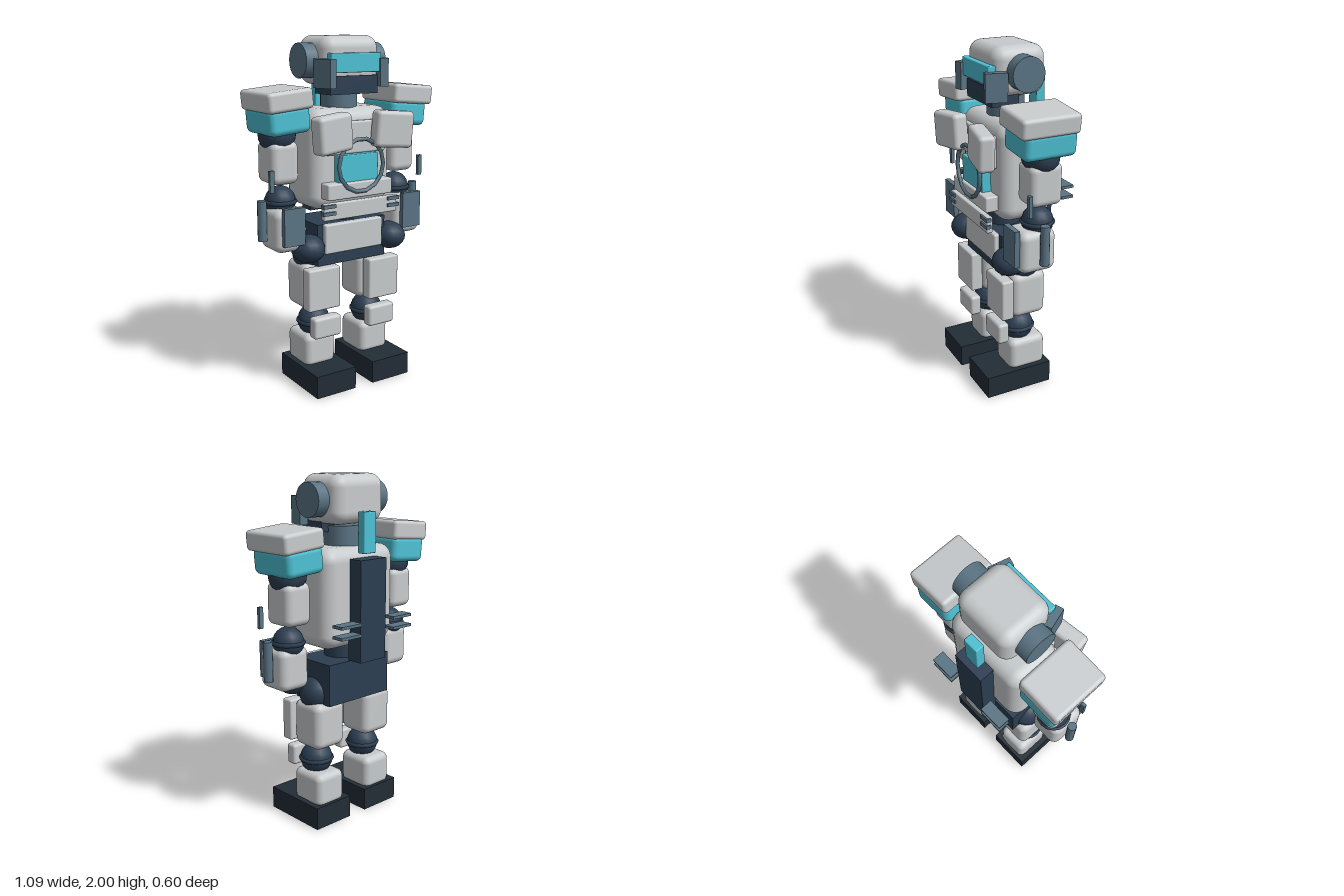
import * as THREE from 'three';
import { RoundedBoxGeometry } from 'three/addons/geometries/RoundedBoxGeometry.js';

function material(name, color) {
  const m = new THREE.MeshStandardMaterial({ color });
  m.name = name;
  return m;
}

export function createModel() {
  const model = new THREE.Group();
  model.name = 'robot';
  const shell = material('pale grey shell', 0xc8cbcd);
  const cyan = material('cyan', 0x4dc1d4);
  const steel = material('steel blue', 0x5a7484);
  const navy = material('navy', 0x2c3e52);
  const sole = material('dark sole', 0x222d36);

  function add(name, geometry, mat, x, y, z, rx = 0, ry = 0, rz = 0) {
    const mesh = new THREE.Mesh(geometry, mat);
    mesh.name = name;
    mesh.position.set(x, y, z);
    mesh.rotation.set(rx, ry, rz);
    model.add(mesh);
    return mesh;
  }
  // Box given by its centre and size; r > 0 rounds its edges
  function box(name, mat, [x, y, z], [w, h, d], r = 0, ry = 0, rz = 0) {
    const g = r ? new RoundedBoxGeometry(w, h, d, 4, r) : new THREE.BoxGeometry(w, h, d);
    return add(name, g, mat, x, y, z, 0, ry, rz);
  }
  const ball = (name, x, y, z, r) =>
    add(name, new THREE.SphereGeometry(r, 16, 12), navy, x, y, z);
  // Ball joint with a raised band round its middle
  function bandedJoint(name, x, y, z, r) {
    ball(name, x, y, z, r);
    add(name + 'Band', new THREE.TorusGeometry(r - 0.004, 0.013, 6, 16), navy, x, y, z, Math.PI / 2);
  }

  // Head
  box('head', shell, [0, 1.865, -0.013], [0.37, 0.27, 0.315], 0.07);
  box('visor', cyan, [0, 1.855, 0.152], [0.325, 0.105, 0.045], 0.006);
  box('jaw', navy, [0, 1.735, 0.07], [0.31, 0.1, 0.16]);
  add('neck', new THREE.CylinderGeometry(0.105, 0.105, 0.14, 20), steel, 0, 1.65, -0.01);

  // Torso
  box('torso', shell, [0, 1.33, -0.015], [0.535, 0.56, 0.325], 0.08);
  box('chestBar', shell, [0, 1.45, 0.135], [0.4, 0.18, 0.07], 0.012);
  box('chestWindow', cyan, [0, 1.24, 0.17], [0.26, 0.24, 0.06], 0.006);
  add('chestRing', new THREE.TorusGeometry(0.148, 0.012, 6, 14), steel, 0, 1.3, 0.222);
  box('upperBellyPlate', shell, [0, 1.165, 0.18], [0.43, 0.09, 0.08], 0.01);
  box('lowerBellyPlate', shell, [0, 1.06, 0.21], [0.49, 0.095, 0.035], 0.008);
  add('waist', new THREE.CylinderGeometry(0.1, 0.1, 0.12, 16), navy, 0, 1.01, 0);

  // Pelvis
  box('pelvis', navy, [0, 0.85, -0.013], [0.46, 0.24, 0.285]);
  box('pelvisPlate', shell, [0, 0.885, 0.14], [0.39, 0.17, 0.04], 0.01);

  // Back unit
  box('backpack', navy, [0, 1.265, -0.215], [0.195, 0.57, 0.095]);
  box('antenna', cyan, [0, 1.69, -0.208], [0.09, 0.225, 0.052], 0.006);

  for (const s of [1, -1]) {
    // Head side parts
    add('ear', new THREE.CylinderGeometry(0.095, 0.095, 0.09, 24), steel, s * 0.215, 1.865, -0.015, 0, 0, Math.PI / 2);
    box('cheekGuard', steel, [s * 0.184, 1.8, 0.14], [0.048, 0.155, 0.12], 0, -s * 0.28);

    // Chest plates and fins
    box('pectoralPlate', shell, [s * 0.198, 1.49, 0.235], [0.23, 0.205, 0.095], 0.025, -s * 0.16, -s * 0.08);
    for (const y of [1.053, 1.093]) {
      box('bellyFin', steel, [s * 0.215, y, 0.222], [0.08, 0.02, 0.03]);
    }
    for (const y of [1.15, 1.21]) {
      box('backFin', steel, [s * 0.197, y, -0.263], [0.147, 0.016, 0.073]);
    }

    // Shoulder
    box('shoulderPad', cyan, [s * 0.393, 1.56, -0.012], [0.25, 0.15, 0.31], 0.035, 0, -s * 0.08);
    box('shoulderCap', shell, [s * 0.404, 1.668, 0], [0.272, 0.11, 0.342], 0.022, 0, -s * 0.09);
    ball('shoulderJoint', s * 0.4, 1.475, -0.01, 0.105);

    // Arm
    box('upperArm', shell, [s * 0.395, 1.325, -0.012], [0.17, 0.235, 0.195], 0.04);
    bandedJoint('elbow', s * 0.393, 1.105, 0, 0.088);
    box('elbowFin', steel, [s * 0.5, 1.24, 0.105], [0.026, 0.12, 0.02]);
    box('forearm', shell, [s * 0.393, 0.96, 0.037], [0.195, 0.24, 0.215], 0.045);
    box('forearmPlate', steel, [s * 0.397, 0.99, 0.157], [0.128, 0.21, 0.03]);
    add('forearmRod', new THREE.CylinderGeometry(0.026, 0.026, 0.225, 12), steel, s * 0.518, 1.012, 0.022);
    const hand = ball('hand', s * 0.28, 0.84, 0.11, 0.095);
    hand.scale.set(1, 0.85, 1.05);

    // Leg
    ball('hipJoint', s * 0.195, 0.775, -0.01, 0.105);
    box('thigh', shell, [s * 0.187, 0.6, -0.018], [0.215, 0.275, 0.215], 0.045);
    box('thighPlate', shell, [s * 0.205, 0.602, 0.13], [0.21, 0.245, 0.075], 0.012);
    bandedJoint('knee', s * 0.188, 0.37, 0.01, 0.095);
    box('kneePad', shell, [s * 0.188, 0.372, 0.14], [0.18, 0.125, 0.07], 0.018);
    box('shin', shell, [s * 0.19, 0.21, -0.014], [0.2, 0.2, 0.23], 0.04);
    box('foot', sole, [s * 0.19, 0.066, 0.06], [0.26, 0.132, 0.41]);
  }
  return model;
}
